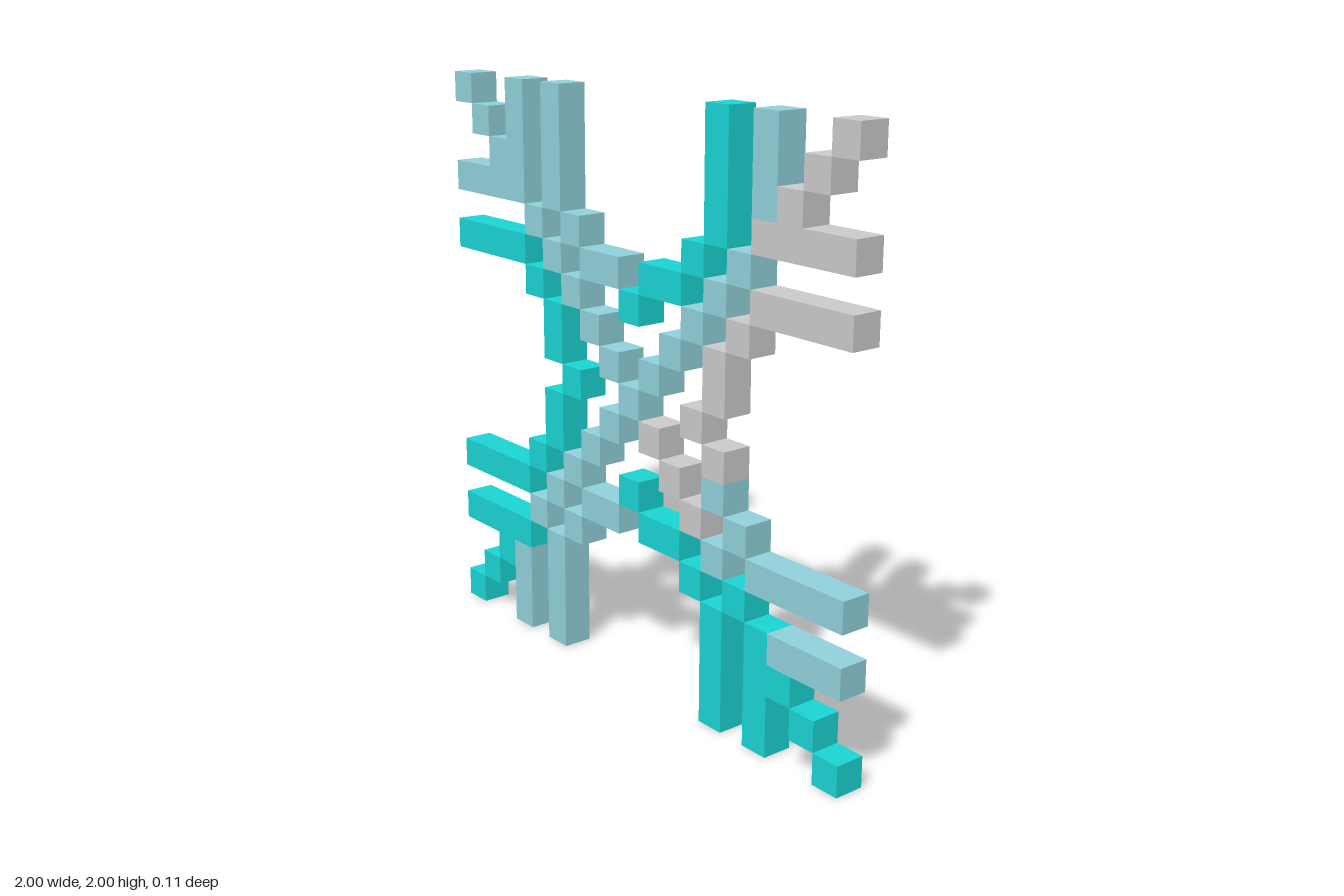
import * as THREE from 'three';

const N = 19;          // cells per side
const S = 2 / N;       // cell size
const MATERIALS = {
  L: new THREE.MeshStandardMaterial({ color: 0x92d2dc }), // pale ice
  T: new THREE.MeshStandardMaterial({ color: 0x1cd5d5 }), // turquoise
  G: new THREE.MeshStandardMaterial({ color: 0xcccccc }), // grey
};

// Bar covering w x h cells, starting at a column and a row counted from the top left
function bar(name, tint, col, row, w = 1, h = 1) {
  const mesh = new THREE.Mesh(new THREE.BoxGeometry(w * S, h * S, S), MATERIALS[tint]);
  mesh.position.set((col + w / 2) * S - 1, 2 - (row + h / 2) * S, 0);
  mesh.name = name;
  return mesh;
}

// Parts of one corner: name, column, row, width, height,
// then the tints of the top left, top right, bottom left and bottom right copies
const CORNER_PARTS = [
  ['innerVerticalProng', 5, 0, 1, 4, 'LTLT'],
  ['outerVerticalProng', 3, 0, 1, 3, 'LLLT'],
  ['innerHorizontalProng', 0, 5, 4, 1, 'TGTL'],
  ['outerHorizontalProng', 0, 3, 3, 1, 'LGTL'],
  ['verticalLink', 6, 4, 1, 1, 'LTLT'],
  ['horizontalLink', 4, 6, 1, 1, 'TGTL'],
  ['horizontalRingBar', 7, 5, 2, 1, 'LTLT'],
  ['verticalRingBarOuter', 5, 7, 1, 1, 'TGTL'],
  ['verticalRingBarInner', 5, 8, 1, 1, 'TGTG'],
];
const CORNERS = ['topRightCorner', 'topLeftCorner', 'bottomRightCorner', 'bottomLeftCorner'];

export function createModel() {
  const model = new THREE.Group();
  model.name = 'snowflake';

  // Two crossing diagonals of cubes, tints listed from top to bottom
  const diagonals = new THREE.Group();
  diagonals.name = 'diagonals';
  [...'LLLLLLLLLLGGGLTTTTT'].forEach((t, i) => diagonals.add(bar('fallingDiagonal', t, i, i)));
  [...'GGGGLLLLLLLLLLLTTTT'].forEach((t, i) => {
    if (i !== 9) diagonals.add(bar('risingDiagonal', t, N - 1 - i, i)); // centre cube is shared
  });
  model.add(diagonals);

  // Branches mirrored into the four corners
  CORNERS.forEach((cornerName, k) => {
    const corner = new THREE.Group();
    corner.name = cornerName;
    for (const [name, col, row, w, h, tints] of CORNER_PARTS) {
      const c = k % 2 ? N - col - w : col;
      const r = k > 1 ? N - row - h : row;
      corner.add(bar(name, tints[k], c, r, w, h));
    }
    model.add(corner);
  });

  // Cubes pointing inwards at the middle of each side
  const tips = new THREE.Group();
  tips.name = 'ringTips';
  tips.add(bar('topTip', 'T', 9, 6), bar('bottomTip', 'T', 9, 12));
  tips.add(bar('rightTip', 'T', 6, 9), bar('leftTip', 'G', 12, 9));
  model.add(tips);

  return model;
}
